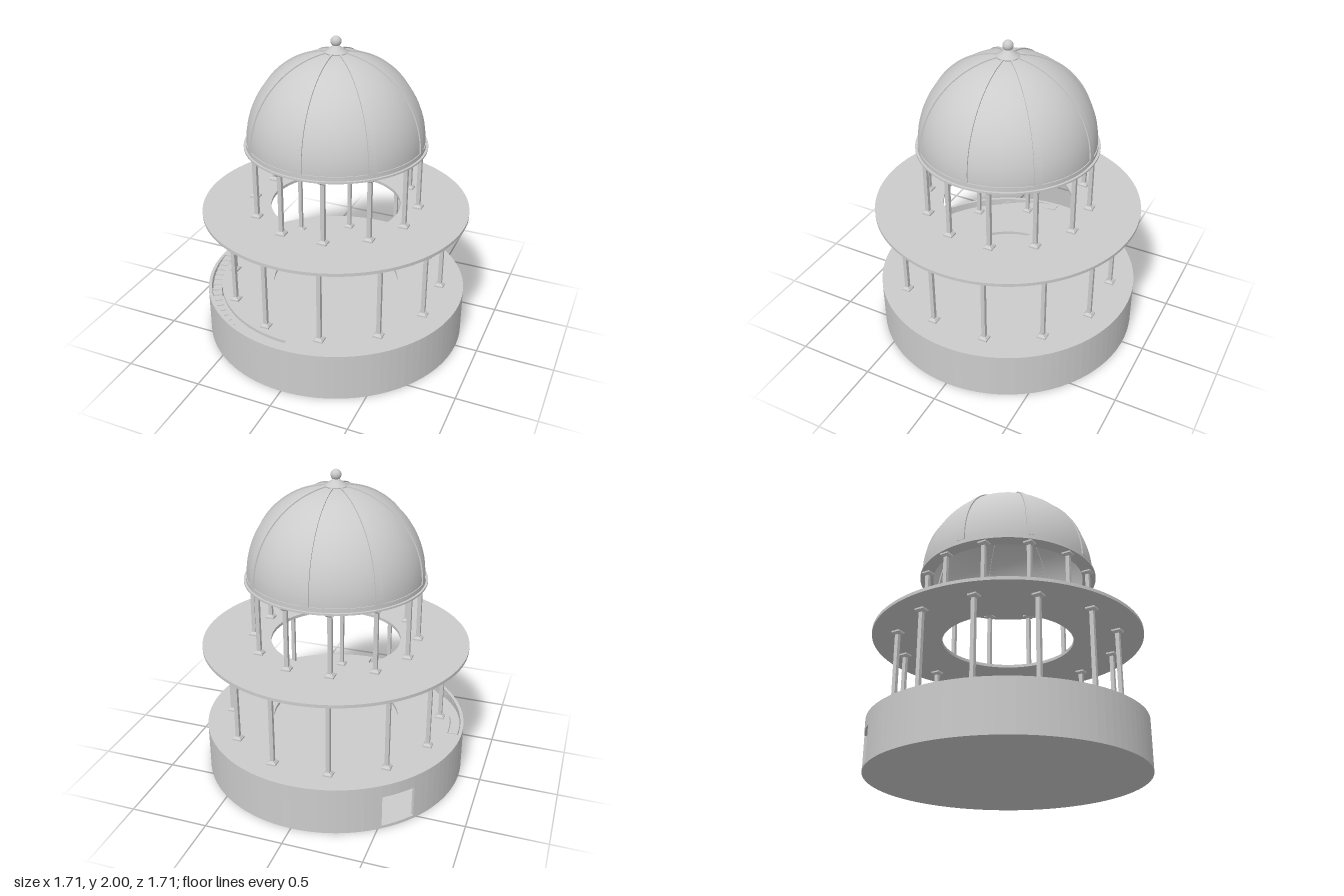
import * as THREE from 'three';

const mat = new THREE.MeshStandardMaterial({ color: 0xcccccc });
const matFlat = new THREE.MeshStandardMaterial({ color: 0xcccccc, flatShading: true });
const matOpen = new THREE.MeshStandardMaterial({ color: 0xcccccc, side: THREE.DoubleSide });

const RAD = Math.PI / 180;
const SEG = 48;
const R = 0.856, R_WALL = 0.835, R_WELL = 0.417;

function add(parent, name, geo, material = mat) {
  const m = new THREE.Mesh(geo, material);
  m.name = name;
  parent.add(m);
  return m;
}

// Extrude a plan shape upward from y0 to y1
function slab(shape, y0, y1, curveSegments = SEG) {
  const g = new THREE.ExtrudeGeometry(shape, { depth: y1 - y0, bevelEnabled: false, curveSegments });
  g.rotateX(-Math.PI / 2);
  g.translate(0, y0, 0);
  return g;
}

function disc(r, holeR) {
  const s = new THREE.Shape();
  s.absarc(0, 0, r, 0, Math.PI * 2, false);
  if (holeR) s.holes.push(new THREE.Path().absarc(0, 0, holeR, 0, Math.PI * 2, true));
  return s;
}

// Part of a ring, angles in degrees
function sector(Type, rIn, rOut, a0, a1) {
  const s = new Type();
  s.absarc(0, 0, rOut, a0 * RAD, a1 * RAD, false);
  s.absarc(0, 0, rIn, a1 * RAD, a0 * RAD, true);
  s.closePath();
  return s;
}

// Square column with a flared foot and a matching capital
function column(parent, name, x, z, y0, y1) {
  const g = new THREE.Group();
  g.name = name;
  g.position.set(x, 0, z);
  parent.add(g);
  const shaft = new THREE.BoxGeometry(0.025, y1 - y0, 0.025);
  shaft.translate(0, (y0 + y1) / 2, 0);
  add(g, 'shaft', shaft);
  for (const [label, y, dir] of [['foot', y0, 1], ['capital', y1, -1]]) {
    const plate = new THREE.BoxGeometry(0.058, 0.01, 0.058);
    plate.translate(0, y + dir * 0.005, 0);
    add(g, label + 'Plate', plate);
    const wide = 0.054 / Math.SQRT2, thin = 0.032 / Math.SQRT2;
    const flare = new THREE.CylinderGeometry(dir > 0 ? thin : wide, dir > 0 ? wide : thin, 0.012, 4);
    flare.rotateY(Math.PI / 4);
    flare.translate(0, y + dir * 0.016, 0);
    add(g, label + 'Flare', flare, matFlat);
  }
}

function colonnade(parent, name, radius, y0, y1) {
  const g = new THREE.Group();
  g.name = name;
  parent.add(g);
  for (let i = 0; i < 12; i++) {
    const a = (15 + 30 * i) * RAD;
    column(g, 'column', radius * Math.cos(a), radius * Math.sin(a), y0, y1);
  }
}

// Curved rib that follows the dome and narrows toward the crown
function ribGeometry(rIn, rOut, cy) {
  const n = 28, pos = [], idx = [];
  for (let i = 0; i <= n; i++) {
    const t = i / n, a = t * 83 * RAD;
    const w = THREE.MathUtils.lerp(0.026, 0.006, t);
    for (const [r, z] of [[rIn, -w], [rOut, -w], [rOut, w], [rIn, w]])
      pos.push(r * Math.cos(a), cy + r * Math.sin(a), z);
    if (i === n) break;
    for (let k = 0; k < 4; k++) {
      const p = i * 4 + k, q = i * 4 + (k + 1) % 4;
      idx.push(p, p + 4, q, q, p + 4, q + 4);
    }
  }
  const e = n * 4;
  idx.push(0, 1, 2, 0, 2, 3, e, e + 2, e + 1, e, e + 3, e + 2);
  const g = new THREE.BufferGeometry();
  g.setAttribute('position', new THREE.Float32BufferAttribute(pos, 3));
  g.setIndex(idx);
  const flat = g.toNonIndexed();
  flat.computeVertexNormals();
  return flat;
}

export function createModel() {
  const root = new THREE.Group();
  root.name = 'domedPavilion';

  // Hollow drum: floor, wall with a doorway at the back, roof with well and stair slot
  const drum = new THREE.Group();
  drum.name = 'drum';
  root.add(drum);
  add(drum, 'floor', slab(disc(R), 0, 0.02));
  const wall = sector(THREE.Shape, R_WALL, R, 142.5, 487.5);
  add(drum, 'wallWithDoorway', slab(wall, 0.02, 0.23, 46));
  add(drum, 'wallTop', slab(disc(R, R_WALL), 0.23, 0.295));
  const roof = disc(R, R_WELL);
  roof.holes.push(sector(THREE.Path, 0.765, R_WALL, -180, -90));
  add(drum, 'roof', slab(roof, 0.295, 0.315));

  // Stair climbing half a turn along the inside of the wall
  const stairs = new THREE.Group();
  stairs.name = 'stairs';
  root.add(stairs);
  const steps = 48;
  for (let i = 0; i < steps; i++) {
    const a = (i + 0.5) / steps * Math.PI;
    const top = 0.026 + 0.294 * (i + 1) / steps;
    const s = add(stairs, 'step', new THREE.BoxGeometry(0.06, 0.02, 0.053));
    s.position.set(0.8 * Math.cos(a), top - 0.01, 0.8 * Math.sin(a));
    s.rotation.y = -a;
  }

  // Two colonnades with a ring-shaped platform between them
  colonnade(root, 'lowerColonnade', 0.7, 0.315, 0.875);
  add(root, 'platform', slab(disc(R, R_WELL), 0.875, 0.895, 64));
  colonnade(root, 'upperColonnade', 0.53, 0.895, 1.31);

  // Dome on a stepped ring
  const dome = new THREE.Group();
  dome.name = 'dome';
  root.add(dome);
  add(dome, 'cornice', slab(disc(0.574, 0.49), 1.31, 1.321, 64));
  add(dome, 'domeRing', slab(disc(0.56, 0.5), 1.321, 1.347, 64));
  const shell = new THREE.SphereGeometry(0.555, 64, 24, 0, Math.PI * 2, 0, Math.PI / 2);
  shell.translate(0, 1.347, 0);
  add(dome, 'shell', shell, matOpen);
  const rib = ribGeometry(0.545, 0.562, 1.347);
  for (let i = 0; i < 8; i++) add(dome, 'rib', rib).rotation.y = i * Math.PI / 4;

  // Finial
  const finial = new THREE.Group();
  finial.name = 'finial';
  root.add(finial);
  const profile = [[0, 1.893], [0.07, 1.893], [0.07, 1.906], [0.052, 1.91], [0.05, 1.918],
    [0.025, 1.935], [0.022, 1.945], [0, 1.945]].map(([x, y]) => new THREE.Vector2(x, y));
  add(finial, 'finialBase', new THREE.LatheGeometry(profile, 32));
  const ball = new THREE.SphereGeometry(0.033, 24, 16);
  ball.translate(0, 1.967, 0);
  add(finial, 'finialBall', ball);

  return root;
}
